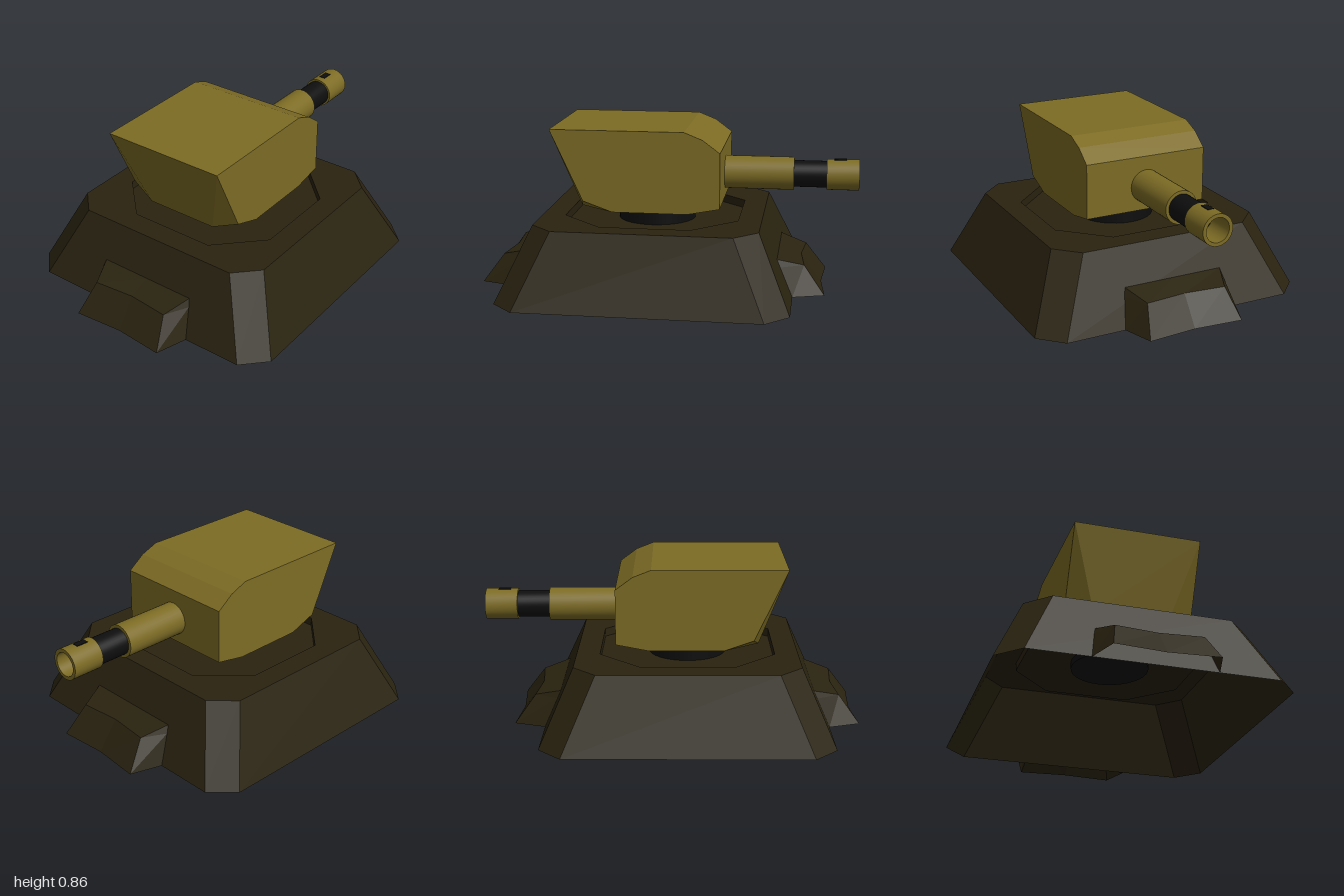
import * as THREE from 'three';
import { toCreasedNormals } from 'three/addons/utils/BufferGeometryUtils.js';
import { ConvexGeometry } from 'three/addons/geometries/ConvexGeometry.js';

const CENTRE_X = -0.082; // turret axis
const BARREL_Y = 0.592;

const paint = (color, flatShading = false) =>
  new THREE.MeshStandardMaterial({ color, flatShading, side: THREE.DoubleSide });

function addMesh(parent, name, geometry, material) {
  const mesh = new THREE.Mesh(geometry, material);
  mesh.name = name;
  parent.add(mesh);
  return mesh;
}

// Faceted skin over rows of points, listed from bottom to top
function loft(rows, closed) {
  const out = [];
  const n = rows[0].length;
  for (let r = 0; r < rows.length - 1; r++) {
    for (let i = 0; i < (closed ? n : n - 1); i++) {
      const j = (i + 1) % n;
      const [a, b, c, d] = [rows[r][i], rows[r + 1][i], rows[r][j], rows[r + 1][j]];
      out.push(...a, ...b, ...c, ...b, ...d, ...c);
    }
  }
  const geometry = new THREE.BufferGeometry();
  geometry.setAttribute('position', new THREE.Float32BufferAttribute(out, 3));
  geometry.computeVertexNormals();
  return geometry;
}

// Square ring with cut corners
function octagon(half, cut, y) {
  const f = half - cut;
  return [[half, -f], [half, f], [f, half], [-f, half], [-half, f], [-half, -f], [-f, -half], [f, -half]]
    .map(([x, z]) => [x, y, z]);
}

// Hollow round section along x
function pipe(x0, x1, outer, inner) {
  const profile = [[inner, x0], [outer, x0], [outer, x1], [inner, x1], [inner, x0]]
    .map(([r, x]) => new THREE.Vector2(r, x));
  const geometry = toCreasedNormals(new THREE.LatheGeometry(profile, 32), 0.6);
  return geometry.rotateZ(-Math.PI / 2).translate(0, BARREL_Y, 0);
}

export function createModel() {
  const model = new THREE.Group();
  model.name = 'gunTurret';
  const dark = paint(0x2a2310, true);
  const gold = paint(0x7d6c25, true);
  const goldSmooth = paint(0x7d6c25);
  const black = paint(0x0e0e0f);

  // Sloped base, open below, with a shallow octagonal well on top
  const base = new THREE.Group();
  base.name = 'base';
  base.position.x = CENTRE_X;
  model.add(base);
  addMesh(base, 'baseShell', loft([
    octagon(0.753, 0.12, 0),
    octagon(0.583, 0.12, 0.38),
    octagon(0.46, 0.225, 0.38),
    octagon(0.46, 0.225, 0.335),
    octagon(0.001, 0.0005, 0.335),
  ], true), dark);

  // Stepped buttresses on both sides
  const row = (y, outer, z, middle, wall, wallZ) =>
    [[wall, y, -wallZ], [outer, y, -z], [middle, y, 0], [outer, y, z], [wall, y, wallZ]];
  const buttress = loft([
    row(0, 0.918, 0.262, 0.897, 0.753, 0.315),
    row(0.15, 0.808, 0.222, 0.787, 0.686, 0.286),
    row(0.19, 0.668, 0.276, 0.668, 0.668, 0.276),
  ], false);
  for (const [name, angle] of [['leftButtress', 0], ['rightButtress', Math.PI]]) {
    addMesh(base, name, buttress, dark).rotation.y = angle;
  }

  // Round bearing under the turret
  addMesh(model, 'bearing', new THREE.CylinderGeometry(0.208, 0.208, 0.135, 32), black)
    .position.set(CENTRE_X, 0.3675, 0);

  // Turret body: side profile, with the rear lower corners tapered inwards
  const corners = [
    [-0.597, 0.858, 0.34], [0.105, 0.858, 0.34], [0.2, 0.82, 0.34], [0.29, 0.753, 0.34],
    [0.29, 0.463, 0.34], [0.12, 0.43, 0.34], [-0.27, 0.43, 0.34], [-0.425, 0.485, 0.34],
    [-0.457, 0.43, 0.2],
  ];
  const points = corners.flatMap(([x, y, z]) =>
    [new THREE.Vector3(x, y, z), new THREE.Vector3(x, y, -z)]);
  addMesh(model, 'turretBody', new ConvexGeometry(points), gold);

  // Barrel: sleeve, dark tube and hollow muzzle with a vent
  const barrel = new THREE.Group();
  barrel.name = 'barrel';
  model.add(barrel);
  addMesh(barrel, 'barrelSleeve', pipe(0.28, 0.657, 0.088, 0.068), goldSmooth);
  addMesh(barrel, 'barrelTube', pipe(0.6, 0.84, 0.071, 0.0005), black);
  addMesh(barrel, 'muzzle', pipe(0.828, 1, 0.082, 0.063), goldSmooth);
  addMesh(barrel, 'muzzleVent', new THREE.BoxGeometry(0.065, 0.02, 0.034), black)
    .position.set(0.9, BARREL_Y + 0.0735, 0);

  return model;
}
